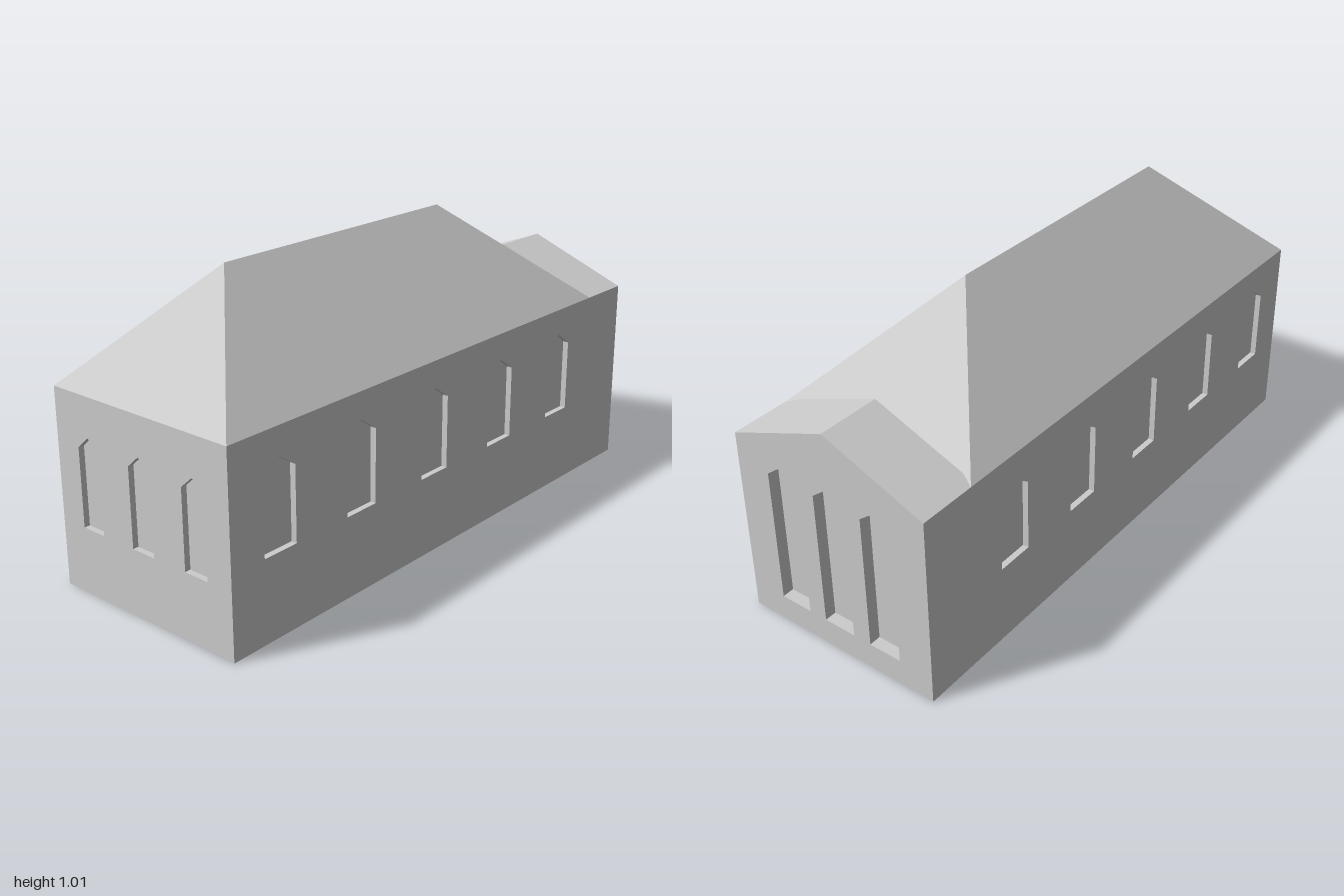
import * as THREE from 'three';

const W = 1, D = 0.36, EAVE = 0.65, RIDGE = 1.01, GABLE = 0.79;

const stone = new THREE.MeshStandardMaterial({ color: 0xcccccc });
stone.name = 'palegrey';

// Flat faces from corner lists, each counter-clockwise seen from outside
function faces(name, polygons) {
  const pos = [];
  for (const p of polygons)
    for (let i = 1; i < p.length - 1; i++) pos.push(...p[0], ...p[i], ...p[i + 1]);
  const geo = new THREE.BufferGeometry();
  geo.setAttribute('position', new THREE.Float32BufferAttribute(pos, 3));
  geo.computeVertexNormals();
  const mesh = new THREE.Mesh(geo, stone);
  mesh.name = name;
  return mesh;
}

// Pointed window outline, counter-clockwise
function windowPoints(cx, { width, sill, shoulder, apex }) {
  const h = width / 2;
  return [[cx - h, sill], [cx + h, sill], [cx + h, shoulder], [cx, apex], [cx - h, shoulder]]
    .map(([x, y]) => new THREE.Vector2(x, y));
}

// Wall facing +z with recessed pointed windows
function wall(name, outline, centres, win) {
  const group = new THREE.Group();
  group.name = name;
  const shape = new THREE.Shape(outline.map(([x, y]) => new THREE.Vector2(x, y)));
  for (const cx of centres) {
    const pts = windowPoints(cx, win);
    shape.holes.push(new THREE.Path(pts));
    // Reveals facing into the opening, then the pane at the back
    const polys = pts.map((a, i) => {
      const b = pts[(i + 1) % pts.length];
      return [[a.x, a.y, 0], [b.x, b.y, 0], [b.x, b.y, -win.depth], [a.x, a.y, -win.depth]];
    });
    polys.push(pts.map(p => [p.x, p.y, -win.depth]));
    group.add(faces('windowRecess', polys));
  }
  const face = new THREE.Mesh(new THREE.ShapeGeometry(shape), stone);
  face.name = 'wallFace';
  group.add(face);
  return group;
}

export function createModel() {
  const model = new THREE.Group();
  model.name = 'hall';

  // Long side walls, front and back
  const sideWin = { width: 0.13, sill: 0.27, shoulder: 0.515, apex: 0.56, depth: 0.02 };
  const centres = [-0.805, -0.455, -0.1, 0.255, 0.605];
  const longOutline = [[-W, 0], [W, 0], [W, EAVE], [-W, EAVE]];
  const front = wall('frontWall', longOutline, centres, sideWin);
  front.position.z = D;
  const back = wall('backWall', longOutline, centres.map(c => -c), sideWin);
  back.rotation.y = Math.PI;
  back.position.z = -D;

  // Gabled end wall with tall windows
  const tallWin = { width: 0.115, sill: 0.09, shoulder: 0.555, apex: 0.6, depth: 0.04 };
  const gableEnd = wall('gableEndWall',
    [[-D, 0], [D, 0], [D, EAVE], [0, GABLE], [-D, EAVE]], [-0.18, 0, 0.18], tallWin);
  gableEnd.rotation.y = Math.PI / 2;
  gableEnd.position.x = W;

  // Plain end wall with small windows
  const smallWin = { width: 0.09, sill: 0.22, shoulder: 0.48, apex: 0.52, depth: 0.02 };
  const hipEnd = wall('hipEndWall',
    [[-D, 0], [D, 0], [D, EAVE], [-D, EAVE]], [-0.22, 0, 0.22], smallWin);
  hipEnd.rotation.y = -Math.PI / 2;
  hipEnd.position.x = -W;
  model.add(front, back, gableEnd, hipEnd);

  // Hipped main roof
  const x1 = 0.8, r0 = [-0.64, RIDGE, 0], r1 = [0.365, RIDGE, 0];
  const fl = [-W, EAVE, D], fr = [x1, EAVE, D], bl = [-W, EAVE, -D], br = [x1, EAVE, -D];
  model.add(faces('mainRoof', [
    [fl, fr, r1, r0], [br, bl, r0, r1], [bl, fl, r0], [fr, br, r1],
  ]));

  // Low gable roof at the end, with its upright inner face
  const g = 0.78;
  const gf = [g, EAVE, D], gb = [g, EAVE, -D], gt = [g, GABLE, 0];
  const ef = [W, EAVE, D], eb = [W, EAVE, -D], et = [W, GABLE, 0];
  model.add(faces('gableRoof', [
    [gf, ef, et, gt], [eb, gb, gt, et], [gb, gf, gt],
  ]));

  // Underside
  model.add(faces('floor', [[[-W, 0, -D], [W, 0, -D], [W, 0, D], [-W, 0, D]]]));
  return model;
}
